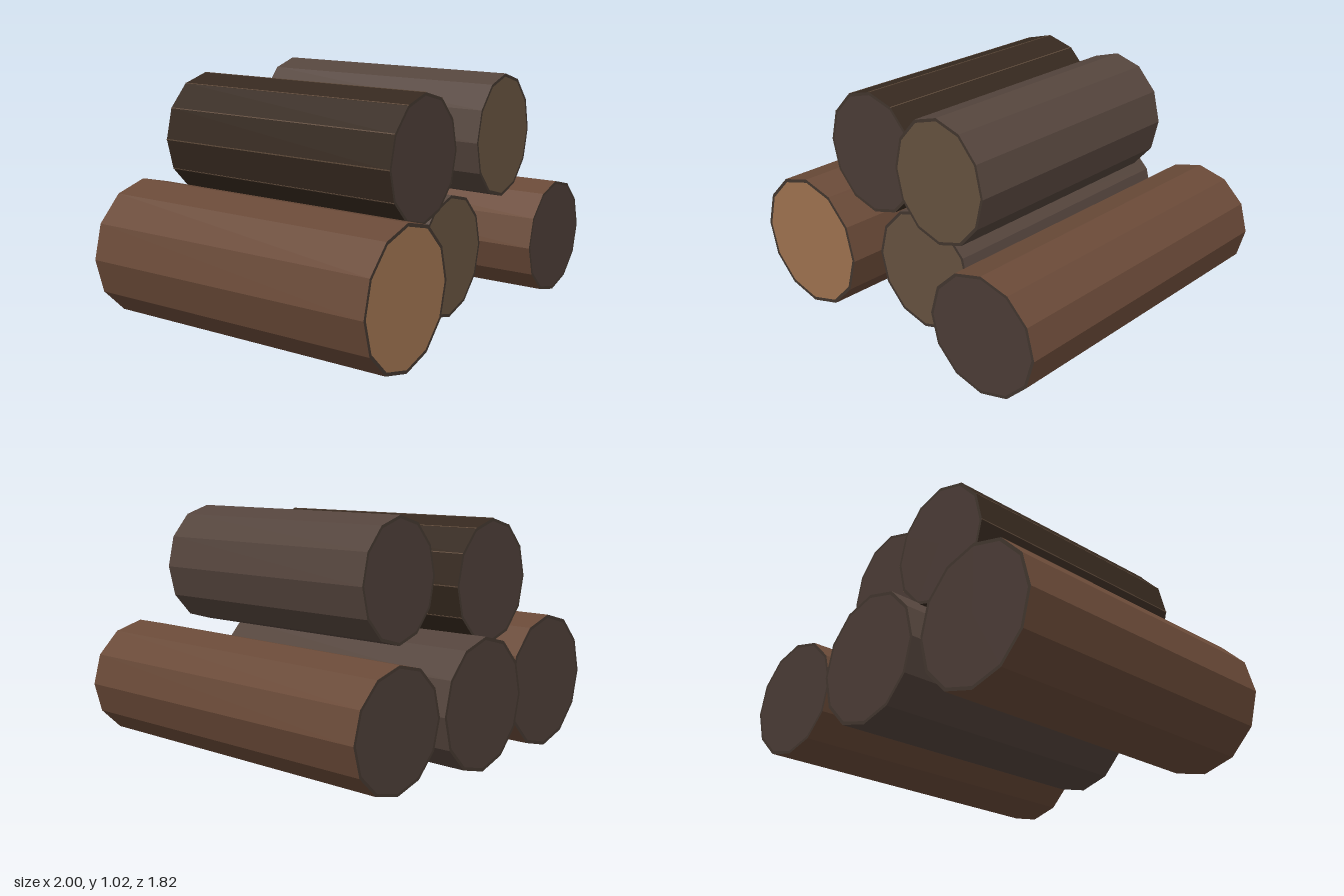
import * as THREE from 'three';

const SIDES = 12;
const mat = (color) => new THREE.MeshStandardMaterial({ color, flatShading: true, roughness: 1 });
const brown = mat(0x6a4a38), grey = mat(0x55453d), dark = mat(0x36291f);
const rimMat = mat(0x43372f), seamMat = mat(0x5f4a3a);
const tan = mat(0xa07450), dull = mat(0x675340), dim = mat(0x4c3d37);

// front and back are end centres; radius is [front, back] across, flat scales the height
const LOGS = [
  { name: 'bottomRightLog', front: [-0.25, 0.288, 0.80], back: [-0.74, 0.285, -0.39], radius: [0.281, 0.284], flat: 1, bark: brown, cut: tan },
  { name: 'bottomMiddleLog', front: [0.205, 0.291, 0.47], back: [-0.255, 0.287, -0.635], radius: [0.252, 0.265], flat: 1.01, bark: grey, cut: dull },
  { name: 'bottomLeftLog', front: [0.765, 0.298, 0.475], back: [0.23, 0.285, -0.815], radius: [0.25, 0.25], flat: 0.955, bark: brown, cut: dim },
  { name: 'topRightLog', front: [-0.02, 0.732, 0.585], back: [-0.43, 0.734, -0.42], radius: [0.244, 0.244], flat: 1.04, bark: dark, cut: dim, seams: true },
  { name: 'topLeftLog', front: [0.443, 0.767, 0.495], back: [0.04, 0.769, -0.49], radius: [0.225, 0.225], flat: 1.11, bark: grey, cut: dull },
];

function addMesh(parent, name, geometry, material) {
  const mesh = new THREE.Mesh(geometry, material);
  mesh.name = name;
  parent.add(mesh);
  return mesh;
}

// Sawn face with a thin ring of bark around it
function addEnd(log, name, radius, z, cutMat) {
  const end = new THREE.Group();
  end.name = name;
  addMesh(end, name + 'Rim', new THREE.RingGeometry(radius * 0.95, radius, SIDES, 1), rimMat);
  addMesh(end, name + 'Cut', new THREE.CircleGeometry(radius * 0.95, SIDES), cutMat);
  end.position.z = z;
  if (z < 0) end.rotation.y = Math.PI;
  log.add(end);
}

function makeLog({ name, front, back, radius, flat, bark, cut, seams }) {
  const a = new THREE.Vector3(...front), b = new THREE.Vector3(...back);
  const length = a.distanceTo(b);
  const log = new THREE.Group();
  log.name = name;
  const side = new THREE.CylinderGeometry(radius[0], radius[1], length, SIDES, 1, true).rotateX(Math.PI / 2);
  addMesh(log, 'bark', side, bark);
  addEnd(log, 'frontEnd', radius[0], length / 2, cut);
  addEnd(log, 'backEnd', radius[1], -length / 2, dim);

  // Pale seams along the bark edges
  if (seams) {
    for (let i = 0; i < SIDES; i++) {
      const t = (i / SIDES) * Math.PI * 2;
      const seam = addMesh(log, 'barkSeam', new THREE.BoxGeometry(0.004, 0.004, length), seamMat);
      seam.position.set(Math.cos(t) * (radius[0] - 0.001), Math.sin(t) * (radius[0] - 0.001), 0);
      seam.rotation.z = t;
    }
  }

  log.scale.y = flat;
  log.position.copy(a).add(b).multiplyScalar(0.5);
  log.lookAt(a);
  return log;
}

export function createModel() {
  const model = new THREE.Group();
  model.name = 'logPile';
  for (const spec of LOGS) model.add(makeLog(spec));
  return model;
}
